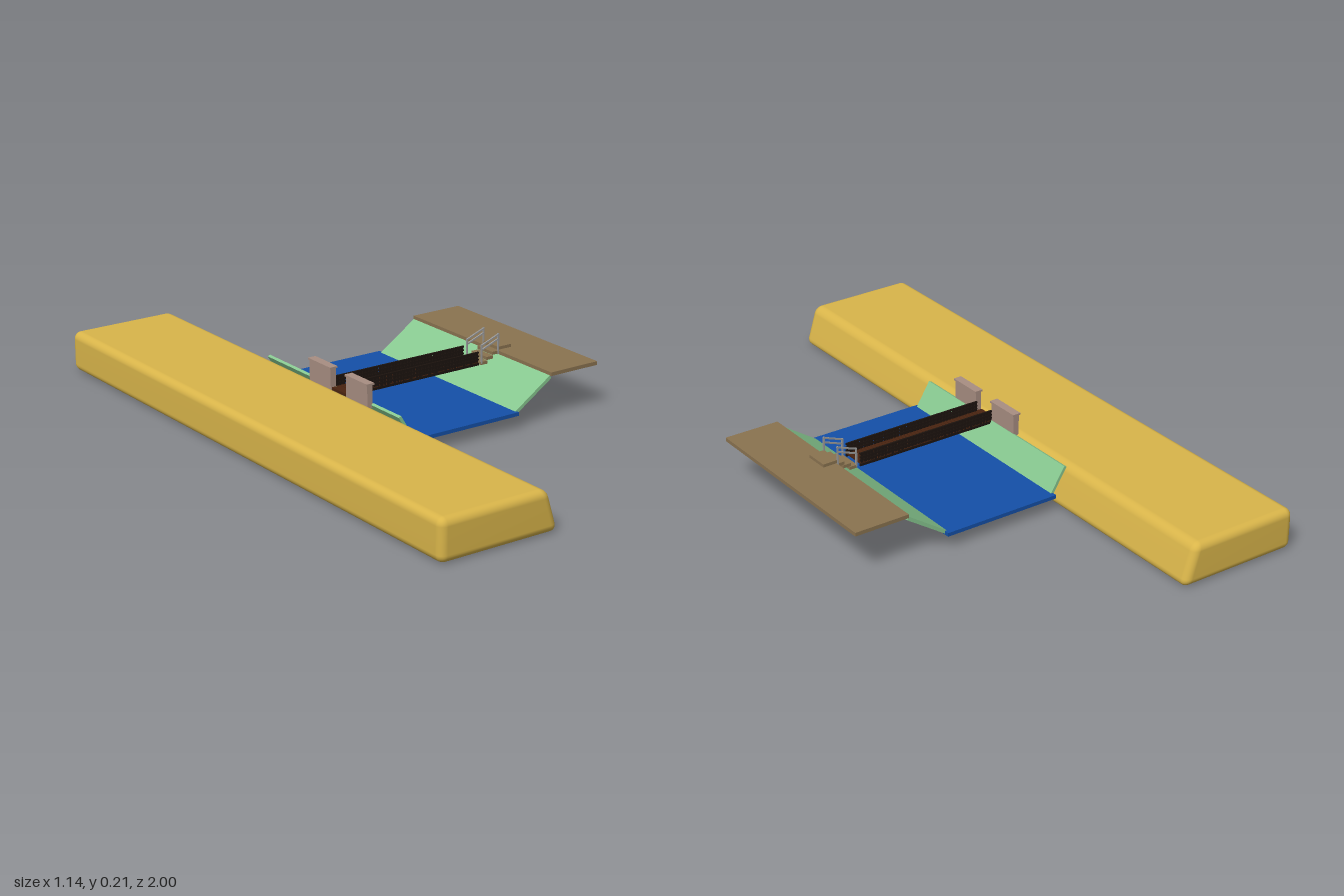
import * as THREE from 'three';
import { RoundedBoxGeometry } from 'three/addons/geometries/RoundedBoxGeometry.js';
import { mergeVertices } from 'three/addons/utils/BufferGeometryUtils.js';

const mat = (color) => new THREE.MeshStandardMaterial({ color });
const SAND = mat(0xd9b54a), WATER = mat(0x1450a8), GRASS = mat(0x88c890), DECK = mat(0x8a7350);
const STONE = mat(0xa88e82), WOOD = mat(0x4a2410), DARK = mat(0x1c130e), METAL = mat(0x999999);

export function createModel() {
  const model = new THREE.Group();

  const add = (name, geometry, material, parent = model) => {
    const mesh = new THREE.Mesh(geometry, material);
    mesh.name = name;
    parent.add(mesh);
    return mesh;
  };
  const group = (name) => {
    const g = new THREE.Group();
    g.name = name;
    model.add(g);
    return g;
  };
  // Box given by its extents on each axis
  const box = (name, [x0, x1], [y0, y1], [z0, z1], material, parent) => {
    const mesh = add(name, new THREE.BoxGeometry(x1 - x0, y1 - y0, z1 - z0), material, parent);
    mesh.position.set((x0 + x1) / 2, (y0 + y1) / 2, (z0 + z1) / 2);
    return mesh;
  };
  // Outline in x and y, extruded along z
  const prism = (name, points, z0, z1, material, parent) => {
    const shape = new THREE.Shape(points.map(([x, y]) => new THREE.Vector2(x, y)));
    const geometry = new THREE.ExtrudeGeometry(shape, { depth: z1 - z0, bevelEnabled: false });
    return add(name, geometry.translate(0, 0, z0), material, parent);
  };

  // Long rounded bank, its inner face leaning back
  let bank = new RoundedBoxGeometry(0.412, 0.133, 2, 4, 0.025);
  bank.translate(-0.366, 0.0665, 0);
  const p = bank.attributes.position;
  for (let i = 0; i < p.count; i++) {
    if (p.getX(i) > -0.366) p.setX(i, p.getX(i) - 0.04 * p.getY(i) / 0.133);
  }
  bank.deleteAttribute('normal');
  bank.deleteAttribute('uv');
  bank = mergeVertices(bank, 1e-4);
  bank.computeVertexNormals();
  add('bank', bank, SAND);

  // River bed and its two grassy slopes
  box('water', [-0.143, 0.255], [0.044, 0.056], [-0.428, 0.302], WATER);
  prism('nearSlope', [[-0.193, 0.13], [-0.145, 0.052], [-0.136, 0.056], [-0.184, 0.134]], -0.412, 0.292, GRASS);
  prism('farSlope', [[0.247, 0.055], [0.253, 0.046], [0.389, 0.136], [0.383, 0.146]], -0.412, 0.292, GRASS);
  box('platform', [0.385, 0.57], [0.144, 0.156], [-0.416, 0.296], DECK);

  // Gate walls with thin caps beside the bridge entrance
  for (const [z0, z1] of [[0.039, 0.155], [-0.157, -0.037]]) {
    const gate = group('gateWall');
    box('wall', [-0.207, -0.187], [0.12, 0.193], [z0 + 0.003, z1 - 0.003], STONE, gate);
    box('cap', [-0.211, -0.183], [0.193, 0.199], [z0, z1], STONE, gate);
  }

  // Bridge: beams, planks and closely set railings
  const bridge = group('bridge');
  const zRails = [-0.042, 0.034];
  const planks = 40, pitch = 0.49 / planks;
  for (const z of zRails) {
    box('beam', [-0.185, 0.305], [0.124, 0.132], [z - 0.003, z + 0.003], DARK, bridge);
    for (const y of [0.142, 0.153, 0.165]) {
      box('rail', [-0.185, 0.305], [y - 0.002, y + 0.003], [z - 0.003, z + 0.003], DARK, bridge);
    }
  }
  for (let i = 0; i < planks; i++) {
    const x = -0.185 + i * pitch;
    box('plank', [x, x + pitch * 0.8], [0.13, 0.135], [-0.044, 0.036], WOOD, bridge);
    for (const z of zRails) {
      box('baluster', [x, x + pitch * 0.75], [0.126, 0.167], [z - 0.002, z + 0.002], DARK, bridge);
    }
  }
  box('threshold', [-0.205, -0.183], [0.126, 0.135], [-0.037, 0.036], WOOD, bridge);

  // Steps up to the platform
  const steps = group('steps');
  for (let i = 0; i < 4; i++) {
    const x = 0.315 + i * 0.0225, y = 0.122 + i * 0.0125;
    box('step', [x, i === 3 ? 0.435 : x + 0.026], [y, y + 0.01], [-0.042, 0.035], DECK, steps);
  }

  // Handrails on both sides of the steps
  const r = 0.0025;
  for (const z of [-0.041, 0.034]) {
    const handrail = group('handrail');
    box('lowerPost', [0.315, 0.32], [0.127, 0.189], [z - r, z + r], METAL, handrail);
    box('upperPost', [0.381, 0.386], [0.145, 0.214], [z - r, z + r], METAL, handrail);
    for (const y of [0.17, 0.185]) {
      prism('slopingRail', [[0.316, y - 0.002], [0.385, y + 0.024], [0.385, y + 0.029], [0.316, y + 0.003]],
        z - r, z + r, METAL, handrail);
    }
  }
  return model;
}
